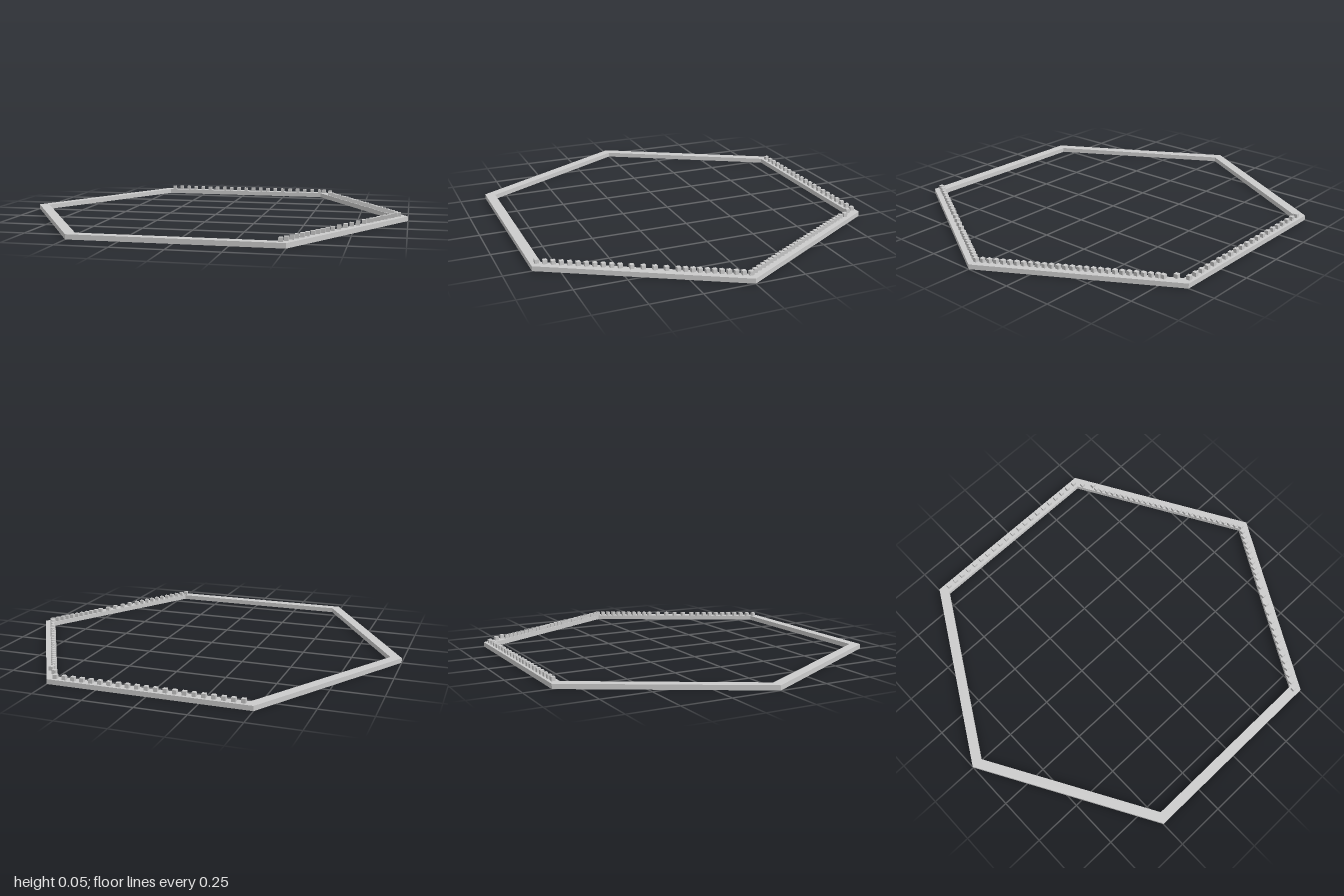
import * as THREE from 'three';

const RING_HEIGHT = 0.024;
const CUBE = 0.02;

// Corner points of a regular hexagon with two corners on the x axis
function hexagon(radius) {
  return Array.from({ length: 6 }, (_, i) => {
    const a = (i * Math.PI) / 3;
    return new THREE.Vector2(radius * Math.cos(a), radius * Math.sin(a));
  });
}

// Evenly spaced values from a to b inclusive
function spaced(a, b, count) {
  return Array.from({ length: count }, (_, i) => a + ((b - a) * i) / (count - 1));
}

export function createModel() {
  const model = new THREE.Group();
  model.name = 'hexagonFrameWithStuds';
  const material = new THREE.MeshStandardMaterial({ color: 0xcccccc, flatShading: true });

  // Flat hexagonal frame
  const outline = new THREE.Shape(hexagon(1));
  outline.holes.push(new THREE.Path(hexagon(0.943).reverse()));
  const frameGeometry = new THREE.ExtrudeGeometry(outline, { depth: RING_HEIGHT, bevelEnabled: false });
  frameGeometry.rotateX(-Math.PI / 2);
  const frame = new THREE.Mesh(frameGeometry, material);
  frame.name = 'hexagonFrame';
  model.add(frame);

  // Small cubes standing on the frame
  const cubeGeometry = new THREE.BoxGeometry(CUBE, CUBE, CUBE);
  function studRow(name, points) {
    const row = new THREE.Group();
    row.name = name;
    points.forEach(([x, z, lift = 0]) => {
      const stud = new THREE.Mesh(cubeGeometry, material);
      stud.name = 'stud';
      stud.position.set(x, RING_HEIGHT + CUBE / 2 + lift, z);
      row.add(stud);
    });
    model.add(row);
  }
  // x on the centre line of the two left sides at a given z
  const sideX = (z) => 0.955 - 0.575 * Math.abs(z);

  // Back row
  studRow('backStuds', spaced(-0.45, 0.465, 21).map((x) => [x, -0.842]));

  // Back left row, ending in two slightly raised studs
  studRow('backLeftStuds', [
    ...spaced(0, -0.727, 27).map((z) => [sideX(z), z]),
    [0.535, -0.755, 0.004],
    [0.495, -0.797, 0.005],
  ]);

  // Front left row: close, wide, then close spacing again
  const frontZ = [
    ...spaced(0.028, 0.278, 10),
    ...spaced(0.324, 0.46, 4),
    ...spaced(0.505, 0.837, 11),
  ];
  studRow('frontLeftStuds', frontZ.map((z) => [sideX(z), z]));

  return model;
}
